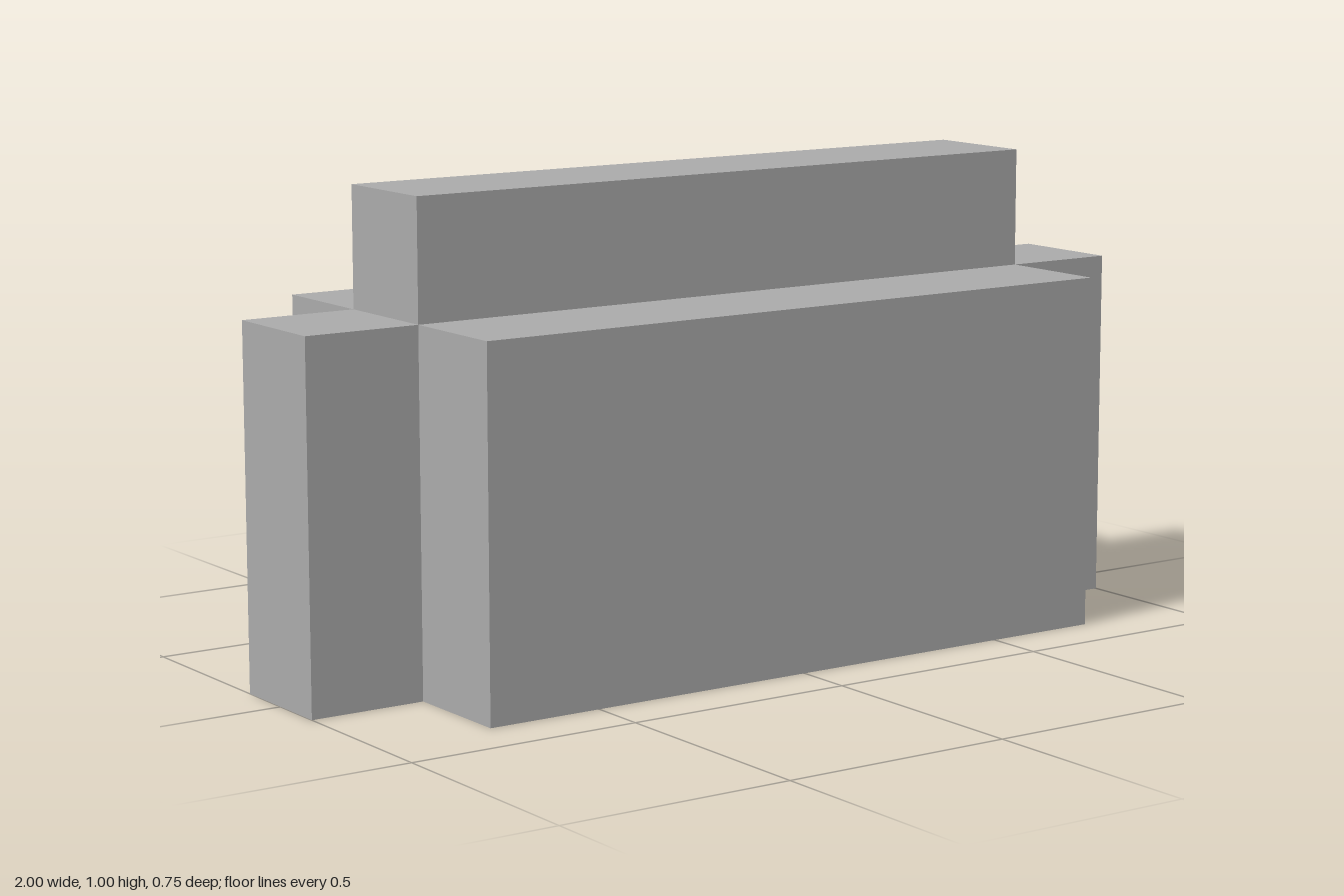
import * as THREE from 'three';

export function createModel() {
  const model = new THREE.Group();
  model.name = 'steppedBlock';
  const grey = new THREE.MeshStandardMaterial({ color: 0xaaaaaa });
  grey.name = 'grey';

  // Box standing on height y, centred on x and z = 0
  const addBlock = (name, w, h, d, x, y) => {
    const mesh = new THREE.Mesh(new THREE.BoxGeometry(w, h, d), grey);
    mesh.name = name;
    mesh.position.set(x, y + h / 2, 0);
    model.add(mesh);
  };

  // Main body with a narrow ridge along the top
  addBlock('body', 1.5, 0.75, 0.75, 0, 0);
  addBlock('topRidge', 1.5, 0.25, 0.25, 0, 0.75);

  // Matching end blocks
  for (const [name, side] of [['leftEnd', 1], ['rightEnd', -1]]) {
    addBlock(name, 0.25, 0.75, 0.25, side * 0.875, 0);
  }

  return model;
}
